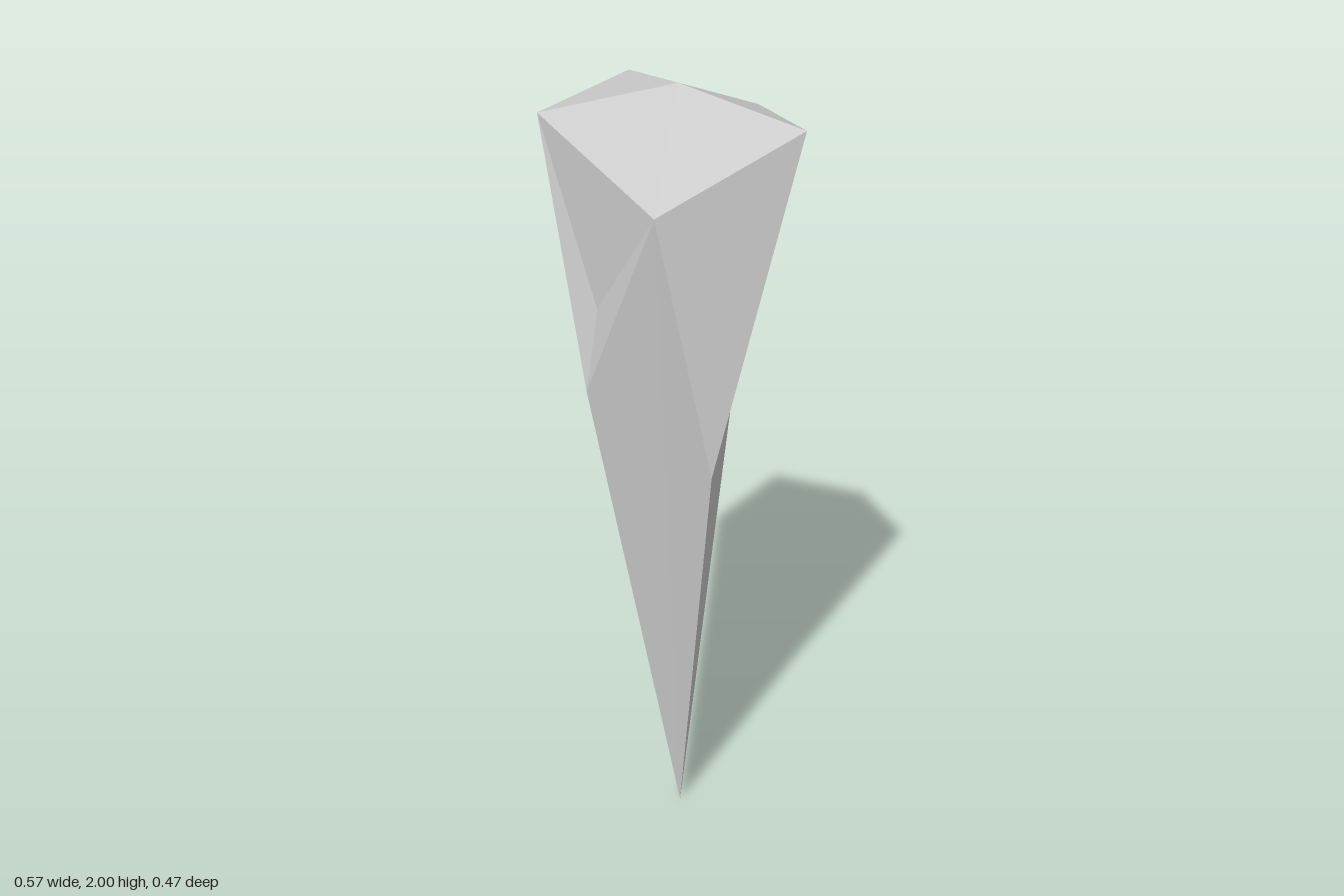
import * as THREE from 'three';

// Corner points of the shard
const P = {
  peak: [-0.02, 2.0, 0.01], tip: [-0.02, 0, 0.01],
  // crown rim, anticlockwise from the front left of the picture plane
  A: [-0.287, 1.94, 0.188], B: [0.04, 1.76, 0.235], C: [0.285, 1.925, -0.028],
  D: [0.06, 1.89, -0.236], E: [-0.245, 1.95, -0.157],
  // waist corners, in the same order
  notchF: [-0.135, 1.49, 0.196], F: [-0.153, 1.285, 0.223], G: [0.15, 1.1, 0.162],
  R: [0.083, 1.485, -0.145], notchB: [-0.02, 1.275, -0.15], S: [-0.045, 1.28, -0.217],
  M: [-0.065, 0.78, -0.12], L: [-0.25, 1.25, -0.065], N: [-0.2, 1.24, 0.1],
};

// Flat-shaded mesh from triangles written as corner names
function facets(name, triangles, material) {
  const coords = triangles.flatMap((t) => t.split(' ').flatMap((key) => P[key]));
  const geometry = new THREE.BufferGeometry();
  geometry.setAttribute('position', new THREE.Float32BufferAttribute(coords, 3));
  geometry.computeVertexNormals();
  const mesh = new THREE.Mesh(geometry, material);
  mesh.name = name;
  return mesh;
}

export function createModel() {
  const group = new THREE.Group();
  group.name = 'crystalShard';
  const material = new THREE.MeshStandardMaterial({ color: 0xcccccc, flatShading: true });

  // Shallow pyramid on top
  const rim = ['A', 'B', 'C', 'D', 'E'];
  const crown = rim.map((key, i) => `peak ${key} ${rim[(i + 1) % rim.length]}`);
  group.add(facets('crown', crown, material));

  // Broken facets between the rim and the waist
  group.add(facets('upperBody', [
    'A notchF B', 'A F notchF', 'notchF F B', // front
    'B G C', 'C G R', 'C R D', // right side
    'R notchB S', 'R S D', 'D S E', // back
    'S M E', 'E M L', 'E L A', 'L N A', 'N F A', // left side
  ], material));

  // Long spike running down to the point
  group.add(facets('spike', [
    'F tip B', 'B tip G', 'G tip R', 'R tip M', 'R M notchB', 'notchB M S',
    'M tip L', 'L tip N', 'N tip F',
  ], material));

  return group;
}
